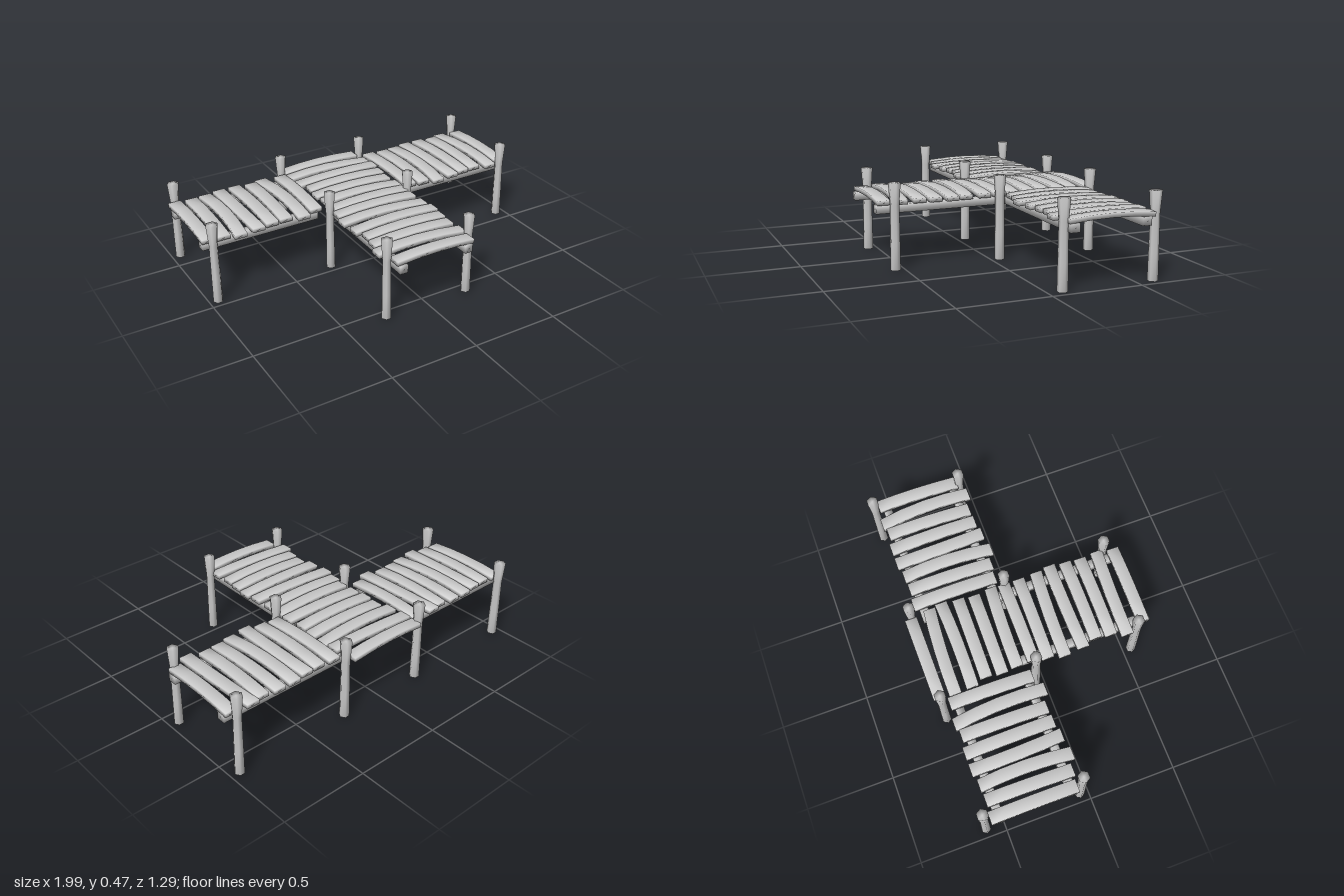
import * as THREE from 'three';
import { mergeVertices } from 'three/addons/utils/BufferGeometryUtils.js';

const material = new THREE.MeshStandardMaterial({ color: 0xcccccc });

// Shared vertices give the worn, rounded look of old timber
function soften(geometry) {
  geometry.deleteAttribute('normal');
  geometry.deleteAttribute('uv');
  const merged = mergeVertices(geometry, 1e-4);
  merged.computeVertexNormals();
  return merged;
}

function addMesh(parent, name, geometry) {
  const mesh = new THREE.Mesh(geometry, material);
  mesh.name = name;
  parent.add(mesh);
  return mesh;
}

// Plank along x, arched upwards; skew turns it and bend bows it sideways
function plankGeometry(length, width, skew, bend) {
  const g = new THREE.BoxGeometry(length, 0.025, width, 4, 1, 1);
  const p = g.attributes.position;
  for (let i = 0; i < p.count; i++) {
    const u = p.getX(i) / (length / 2);
    p.setY(i, p.getY(i) + 0.013 * (1 - u * u));
    p.setZ(i, p.getZ(i) + skew * u + bend * (0.5 - u * u));
  }
  return soften(g);
}

// Six-sided post, waisted near the deck and flared at its head
function postGeometry() {
  const g = new THREE.CylinderGeometry(1, 1, 0.47, 6, 3);
  g.rotateY(Math.PI / 6);
  g.translate(0, 0.235, 0);
  const p = g.attributes.position;
  const radii = [0.028, 0.027, 0.025, 0.034];
  const levels = [0, 0.15, 0.35, 0.47];
  for (let i = 0; i < p.count; i++) {
    const row = Math.round(p.getY(i) / 0.47 * 3);
    p.setXYZ(i, p.getX(i) * radii[row], levels[row], p.getZ(i) * radii[row]);
  }
  return soften(g);
}

export function createModel() {
  const pier = new THREE.Group();
  pier.name = 'pier';

  // Posts: x, z
  const posts = [
    [-0.95, -0.605], [-0.95, -0.05], [0.945, -0.595], [0.945, -0.08],
    [-0.28, -0.605], [0.255, -0.605], [-0.255, -0.05], [0.255, -0.05],
    [-0.255, 0.55], [0.255, 0.55],
  ];
  const postShape = postGeometry();
  for (const [x, z] of posts) addMesh(pier, 'post', postShape).position.set(x, 0, z);

  // Rails under the two side arms and under the front walkway
  const rail = (w, d, x, z) =>
    addMesh(pier, 'rail', soften(new THREE.BoxGeometry(w, 0.046, d))).position.set(x, 0.323, z);
  for (const z of [-0.525, -0.122]) {
    rail(0.69, 0.05, -0.65, z);
    rail(0.79, 0.05, 0.595, z);
  }
  for (const x of [-0.205, 0.198]) rail(0.046, 0.78, x, 0.25);

  // Side arm planks: x, back z, front z, skew, bend
  const sidePlanks = [
    [-0.963, -0.575, -0.085, 0, 0], [-0.873, -0.565, -0.075, 0.004, 0],
    [-0.782, -0.57, -0.045, 0.004, 0.014], [-0.69, -0.585, -0.06, -0.006, -0.008],
    [-0.595, -0.585, -0.075, -0.002, 0], [-0.504, -0.57, -0.08, 0.004, 0],
    [-0.413, -0.585, -0.052, -0.009, 0.014], [-0.313, -0.57, -0.093, 0.003, 0],
  ];
  for (const shift of [0, 1.267]) {
    const arm = new THREE.Group();
    arm.name = shift ? 'leftArmPlanks' : 'rightArmPlanks';
    for (const [x, z0, z1, skew, bend] of sidePlanks) {
      const plank = addMesh(arm, 'plank', plankGeometry(z1 - z0, 0.072, skew, bend));
      plank.rotation.y = Math.PI / 2;
      plank.position.set(x + shift, 0.357, (z0 + z1) / 2);
    }
    pier.add(arm);
  }

  // Walkway planks: z, left end x, right end x, skew, bend
  const walkPlanks = [
    [-0.61, -0.262, 0.227, -0.002, 0], [-0.513, -0.27, 0.247, 0.012, -0.008],
    [-0.42, -0.264, 0.26, -0.003, 0.006], [-0.33, -0.238, 0.248, 0.003, 0],
    [-0.24, -0.248, 0.238, 0.003, 0], [-0.147, -0.24, 0.248, 0.01, -0.006],
    [-0.057, -0.235, 0.243, 0, 0], [0.027, -0.254, 0.243, 0.004, 0],
    [0.123, -0.275, 0.248, 0.012, -0.008], [0.222, -0.264, 0.26, -0.002, -0.006],
    [0.313, -0.238, 0.248, 0.002, 0], [0.4, -0.25, 0.24, 0.003, 0],
    [0.492, -0.28, 0.248, 0.012, -0.008], [0.598, -0.238, 0.232, 0.003, 0],
  ];
  const walkway = new THREE.Group();
  walkway.name = 'walkwayPlanks';
  for (const [z, x0, x1, skew, bend] of walkPlanks) {
    addMesh(walkway, 'plank', plankGeometry(x1 - x0, 0.07, skew, bend))
      .position.set((x0 + x1) / 2, 0.359, z);
  }
  pier.add(walkway);
  return pier;
}
